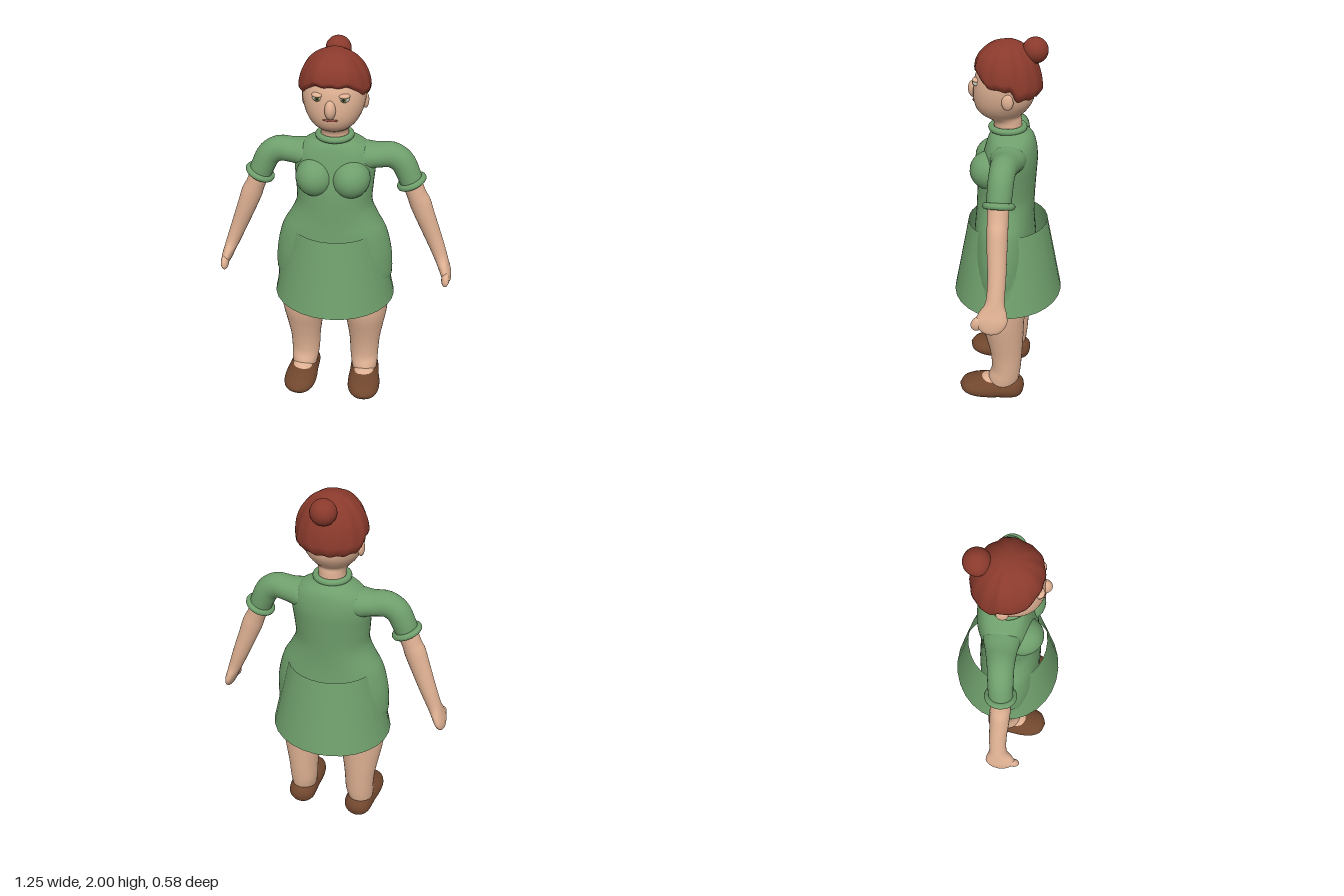
import * as THREE from 'three';
import { mergeVertices } from 'three/addons/utils/BufferGeometryUtils.js';

const paint = (name, color, side = THREE.FrontSide) => {
  const m = new THREE.MeshStandardMaterial({ color, side });
  m.name = name;
  return m;
};

// Smooth skin through rows [x, y, z, a, b]: centre, in-plane radius, depth radius
function loft(rows, mirror = 1, seg = 32, steps = 4) {
  const n = (rows.length - 1) * steps;
  const at = (k, t) => {
    const f = t * (rows.length - 1), i = Math.min(Math.floor(f), rows.length - 2), u = f - i;
    const p = (j) => rows[THREE.MathUtils.clamp(j, 0, rows.length - 1)][k];
    const m0 = (p(i + 1) - p(i - 1)) / 2, m1 = (p(i + 2) - p(i)) / 2, d = p(i + 1) - p(i);
    return p(i) + m0 * u + (3 * d - 2 * m0 - m1) * u * u + (m0 + m1 - 2 * d) * u * u * u;
  };
  const pos = [], idx = [];
  for (let i = 0; i <= n; i++) {
    const t = i / n, e = 0.01;
    const t0 = Math.max(0, t - e), t1 = Math.min(1, t + e);
    const dir = new THREE.Vector2((at(0, t1) - at(0, t0)) * mirror, at(1, t1) - at(1, t0)).normalize();
    const a = Math.max(0, at(3, t)), b = Math.max(0, at(4, t));
    for (let j = 0; j < seg; j++) {
      const q = (j / seg) * Math.PI * 2, c = Math.cos(q) * a;
      pos.push(at(0, t) * mirror + dir.y * c, at(1, t) - dir.x * c, at(2, t) + Math.sin(q) * b);
      if (i < n) {
        const k = (j + 1) % seg, r = i * seg, s = r + seg;
        idx.push(r + j, s + j, r + k, r + k, s + j, s + k);
      }
    }
  }
  const g = new THREE.BufferGeometry();
  g.setAttribute('position', new THREE.Float32BufferAttribute(pos, 3));
  g.setIndex(idx);
  g.computeVertexNormals();
  return g;
}

// Hair cap: a dome with an arched fringe, a low nape and a wavy hem
function hairCap() {
  let g = new THREE.SphereGeometry(1, 72, 20, 0, Math.PI * 2, 0, Math.PI / 2);
  g.deleteAttribute('uv');
  g.deleteAttribute('normal');
  g = mergeVertices(g, 1e-4);
  const p = g.attributes.position, ss = THREE.MathUtils.smoothstep;
  for (let i = 0; i < p.count; i++) {
    const x = p.getX(i), y = p.getY(i), z = p.getZ(i);
    const q = Math.atan2(x, z), f = Math.cos(q), low = 1 - y;
    const rim = 1.782 + 0.055 * ss(f, 0.5, 0.9) - 0.05 * ss(-f, 0.15, 0.4) + 0.005 * Math.cos(q * 14);
    const tuck = y < 0.01 ? 0.88 : 1;
    const wave = (1 + 0.015 * Math.cos(q * 14) * low * low) * tuck;
    const h = Math.pow(y, 0.9);
    p.setXYZ(i, x * 0.172 * wave, rim + (1.985 - rim) * h, z * 0.163 * wave - 0.003);
  }
  g.computeVertexNormals();
  return g;
}

export function createModel() {
  const root = new THREE.Group();
  root.name = 'woman';
  const dress = paint('dress green', 0x6f9f6c), cloth = paint('skirt green', 0x6f9f6c, THREE.DoubleSide);
  const skin = paint('skin', 0xdfb193), hair = paint('auburn hair', 0x8a3a2c, THREE.DoubleSide);
  const leather = paint('brown shoe', 0x71472e), white = paint('eye white', 0xd8d6c4);
  const green = paint('iris green', 0x6f7f4a), dark = paint('pupil', 0x2a2320), lip = paint('lips', 0x8f4a40);

  const add = (name, geo, mat, x = 0, y = 0, z = 0) => {
    const m = new THREE.Mesh(geo, mat);
    m.name = name;
    m.position.set(x, y, z);
    root.add(m);
    return m;
  };
  const blob = (name, mat, x, y, z, rx, ry, rz) => {
    const m = add(name, new THREE.SphereGeometry(1, 24, 16), mat, x, y, z);
    m.scale.set(rx, ry, rz);
    return m;
  };

  // Dress body
  add('torso', loft([
    [0, 0.64, 0.01, 0, 0], [0, 0.66, 0.01, 0.25, 0.11], [0, 0.75, 0.015, 0.303, 0.155],
    [0, 0.85, 0.015, 0.308, 0.163], [0, 0.95, 0.015, 0.296, 0.16], [0, 1.05, 0.015, 0.268, 0.152],
    [0, 1.12, 0.013, 0.228, 0.148], [0, 1.2, 0.01, 0.194, 0.147], [0, 1.3, 0.003, 0.197, 0.146],
    [0, 1.4, -0.01, 0.204, 0.138], [0, 1.47, -0.015, 0.192, 0.124], [0, 1.515, -0.015, 0.15, 0.108],
    [0, 1.54, -0.01, 0.095, 0.088], [0, 1.56, 0, 0.07, 0.07],
  ], 1, 48), dress);
  const collar = add('collar', new THREE.TorusGeometry(0.08, 0.016, 12, 40), dress, 0, 1.555, 0.002);
  collar.rotation.x = Math.PI / 2;

  // Flared skirt, open at both ends
  const skirt = add('skirt', new THREE.CylinderGeometry(0.205, 0.288, 0.42, 28, 1, true), cloth, 0, 0.84, 0);
  skirt.scale.x = 1.125;

  // Head and face
  add('head', loft([
    [0, 1.53, 0, 0.07, 0.07], [0, 1.59, 0.003, 0.068, 0.07], [0, 1.62, 0.028, 0.085, 0.093],
    [0, 1.65, 0.03, 0.112, 0.122], [0, 1.7, 0.022, 0.138, 0.145], [0, 1.77, 0.016, 0.152, 0.149],
    [0, 1.84, 0.005, 0.146, 0.143], [0, 1.91, 0, 0.105, 0.1], [0, 1.95, 0, 0, 0],
  ], 1, 40), skin);
  blob('nose', skin, 0, 1.742, 0.16, 0.027, 0.046, 0.035);
  blob('mouth', lip, 0, 1.693, 0.163, 0.036, 0.007, 0.008);
  add('hair', hairCap(), hair);
  blob('bun', hair, 0, 1.939, -0.127, 0.062, 0.061, 0.062);

  const shoe = loft([
    [-0.112, 0.07, 0, 0, 0], [-0.1, 0.07, 0, 0.04, 0.045], [-0.06, 0.068, 0, 0.065, 0.076],
    [0.03, 0.067, 0, 0.067, 0.083], [0.1, 0.065, 0, 0.063, 0.09], [0.17, 0.064, 0, 0.052, 0.086],
    [0.225, 0.066, 0, 0.034, 0.058], [0.25, 0.068, 0, 0, 0],
  ]);

  for (const s of [1, -1]) {
    const side = s > 0 ? 'left' : 'right';
    const part = (name) => side + name;

    blob(part('Bust'), dress, s * 0.088, 1.355, 0.075, 0.098, 0.1, 0.105);
    blob(part('Ear'), skin, s * 0.146, 1.73, -0.015, 0.016, 0.038, 0.028);

    // Eye with lid
    blob(part('Eye'), white, s * 0.061, 1.793, 0.138, 0.025, 0.019, 0.022);
    blob(part('Iris'), green, s * 0.061, 1.793, 0.153, 0.014, 0.014, 0.009);
    blob(part('Pupil'), dark, s * 0.061, 1.793, 0.159, 0.007, 0.007, 0.005);
    blob(part('Eyelid'), skin, s * 0.061, 1.806, 0.138, 0.028, 0.012, 0.025);

    // Sleeve and rolled cuff
    add(part('Sleeve'), loft([
      [0.385, 1.315, -0.005, 0.058, 0.058], [0.362, 1.37, -0.008, 0.06, 0.06],
      [0.332, 1.423, -0.01, 0.062, 0.061], [0.28, 1.453, -0.013, 0.064, 0.064],
      [0.21, 1.448, -0.016, 0.063, 0.074], [0.12, 1.44, -0.018, 0.07, 0.085], [0.06, 1.44, -0.018, 0, 0],
    ], s), dress);
    const cuff = add(part('Cuff'), new THREE.TorusGeometry(0.062, 0.016, 12, 32), dress, s * 0.385, 1.315, -0.006);
    cuff.quaternion.setFromUnitVectors(new THREE.Vector3(0, 0, 1), new THREE.Vector3(s * 0.435, -0.9, 0).normalize());

    // Arm flowing into a mitten hand
    add(part('Arm'), loft([
      [0.612, 0.742, 0.005, 0, 0], [0.606, 0.757, 0.005, 0.018, 0.045], [0.592, 0.8, 0.005, 0.028, 0.076],
      [0.575, 0.845, -0.002, 0.031, 0.066], [0.555, 0.895, -0.01, 0.036, 0.045], [0.513, 1.0, -0.013, 0.043, 0.044],
      [0.465, 1.12, -0.008, 0.05, 0.048], [0.434, 1.2, -0.006, 0.054, 0.05],
      [0.412, 1.25, -0.005, 0.049, 0.05], [0.375, 1.34, -0.005, 0.05, 0.052],
    ], s), skin);
    const thumb = blob(part('Thumb'), skin, s * 0.592, 0.79, 0.07, 0.021, 0.04, 0.03);
    thumb.rotation.x = -0.5;

    // Leg with short trouser lining under the skirt
    add(part('Lining'), loft([
      [0.176, 0.645, 0.01, 0, 0], [0.176, 0.65, 0.01, 0.127, 0.124],
      [0.176, 0.72, 0.01, 0.13, 0.13], [0.17, 0.85, 0.01, 0.12, 0.13],
    ], s), dress);
    add(part('Leg'), loft([
      [0.175, 0.1, 0.01, 0.07, 0.085], [0.173, 0.145, 0, 0.076, 0.085], [0.17, 0.2, -0.012, 0.08, 0.08],
      [0.17, 0.3, -0.012, 0.086, 0.087], [0.171, 0.4, -0.004, 0.1, 0.1], [0.171, 0.5, 0.007, 0.116, 0.115],
      [0.172, 0.58, 0.01, 0.122, 0.12], [0.175, 0.7, 0.01, 0.122, 0.12],
    ], s), skin);
    const instep = blob(part('Instep'), skin, s * 0.178, 0.105, 0.075, 0.058, 0.034, 0.085);
    instep.rotation.x = 0.2;

    // Shoe, toes turned slightly outward
    const foot = add(part('Shoe'), shoe, leather, s * 0.175, 0, 0);
    foot.rotation.y = -Math.PI / 2 + s * 0.06;
  }
  return root;
}
